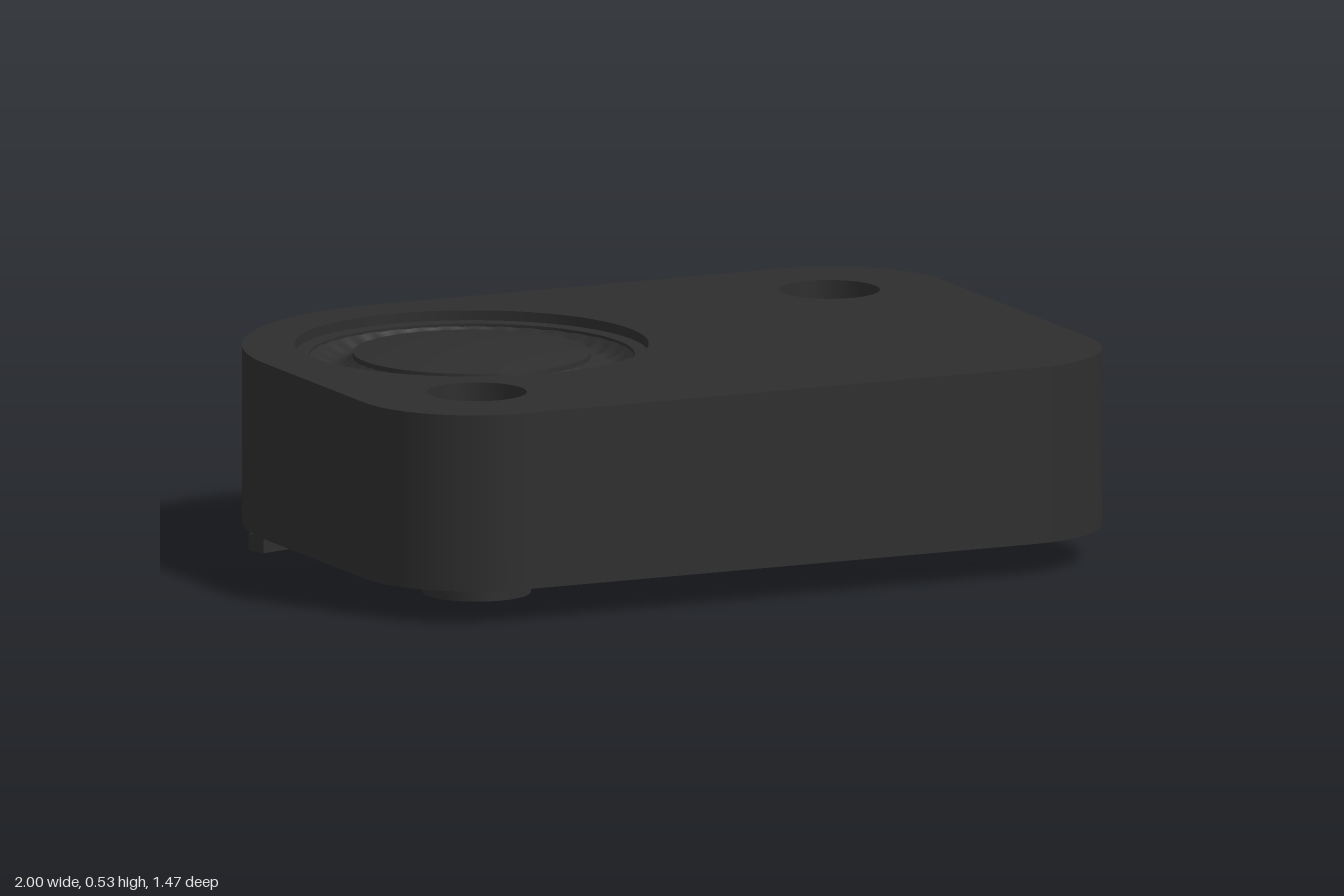
import * as THREE from 'three';
import { toCreasedNormals } from 'three/addons/utils/BufferGeometryUtils.js';

const TAU = Math.PI * 2;
const BASE = 0.08, LEDGE = 0.445, TOP = 0.525;
const SPEAKER = { x: -0.42, z: -0.165, r: 0.44 };
const SCREWS = [[0.69, -0.43], [-0.685, 0.42]];

export function createModel() {
  const group = new THREE.Group();
  const charcoal = new THREE.MeshStandardMaterial({ color: 0x2e2e2e });
  charcoal.name = 'charcoal plastic';

  const add = (name, geometry, x = 0, y = 0, z = 0) => {
    const mesh = new THREE.Mesh(geometry, charcoal);
    mesh.name = name;
    mesh.position.set(x, y, z);
    group.add(mesh);
    return mesh;
  };

  // Plan outline: three equal corners and one large one around the speaker
  const outline = () => {
    const s = new THREE.Shape();
    const r = 0.3, R = 0.59, w = 0.998, back = 0.735, front = -0.73;
    s.absarc(w - r, front + r, r, -Math.PI / 2, 0);
    s.absarc(w - r, back - r, r, 0, Math.PI / 2);
    s.absarc(-w + R, back - R, R, Math.PI / 2, Math.PI);
    s.absarc(-w + r, front + r, r, Math.PI, Math.PI * 1.5);
    s.closePath();
    return s;
  };

  // A horizontal slab of the housing with round holes [x, z, radius]
  const slab = (name, y0, y1, holes) => {
    const s = outline();
    for (const [x, z, r] of holes) s.holes.push(new THREE.Path().absarc(x, -z, r, 0, TAU, true));
    const g = new THREE.ExtrudeGeometry(s, { depth: y1 - y0, bevelEnabled: false, curveSegments: 32 });
    g.rotateX(-Math.PI / 2);
    add(name, toCreasedNormals(g, 0.5), 0, y0, 0);
  };
  slab('lowerHousing', BASE, LEDGE, SCREWS.map(([x, z]) => [x, z, 0.05]));
  slab('upperHousing', LEDGE, TOP,
    [...SCREWS.map(([x, z]) => [x, z, 0.125]), [SPEAKER.x, SPEAKER.z, SPEAKER.r]]);

  // Mounting feet: short rings around the screw holes
  for (const [x, z] of SCREWS) {
    const ring = new THREE.Shape().absarc(0, 0, 0.135, 0, TAU);
    ring.holes.push(new THREE.Path().absarc(0, 0, 0.085, 0, TAU, true));
    const g = new THREE.ExtrudeGeometry(ring, { depth: 0.06, bevelEnabled: false, curveSegments: 24 });
    g.rotateX(-Math.PI / 2);
    add('mountingFoot', toCreasedNormals(g, 0.5), x, 0.02, z);
  }

  // Speaker frame: flat step inside the recess
  const frame = new THREE.LatheGeometry(
    [[0.405, 0.46], [0.405, 0.498], [0.415, 0.5], [0.44, 0.5]].reverse()
      .map(([r, y]) => new THREE.Vector2(r, y)).reverse(), 72);
  flipUp(frame);
  add('speakerFrame', toCreasedNormals(frame, 0.5), SPEAKER.x, 0, SPEAKER.z);

  // Surround: concave roll with slanted ribs
  const roll = [];
  for (let i = 0; i <= 12; i++) roll.push(new THREE.Vector2(0.29 + 0.122 * i / 12, 0));
  const surround = new THREE.LatheGeometry(roll, 288);
  const p = surround.attributes.position;
  for (let i = 0; i < p.count; i++) {
    const x = p.getX(i), z = p.getZ(i);
    const t = (Math.hypot(x, z) - 0.29) / 0.122;
    const dip = Math.sin(Math.PI * Math.min(1, Math.max(0, t)));
    p.setY(i, 0.497 - 0.033 * dip + 0.004 * dip * Math.sin(36 * Math.atan2(z, x) + 4 * t));
  }
  flipUp(surround);
  surround.computeVertexNormals();
  add('speakerSurround', surround, SPEAKER.x, 0, SPEAKER.z);

  // Dome: shallow spherical cap with a small edge
  const cap = [];
  for (let i = 0; i <= 12; i++) {
    const r = 0.295 * i / 12;
    cap.push(new THREE.Vector2(r, 0.53 - 0.026 * (r / 0.295) ** 2));
  }
  cap.push(new THREE.Vector2(0.297, 0.485));
  const dome = new THREE.LatheGeometry(cap, 72);
  flipUp(dome);
  add('speakerDome', toCreasedNormals(dome, 0.6), SPEAKER.x, 0, SPEAKER.z);

  // Pad on the underside
  add('undersidePad', new THREE.BoxGeometry(0.23, 0.05, 0.42), 0.805, 0.056, 0);

  // Twisted pair of wires leading to a small plug
  const path = new THREE.CatmullRomCurve3([
    [0.115, 0.1, -0.39], [0.1, 0.055, -0.4], [0.04, 0.026, -0.42], [-0.15, 0.025, -0.42],
    [-0.4, 0.032, -0.385], [-0.65, 0.04, -0.33], [-0.85, 0.052, -0.265], [-0.95, 0.057, -0.225],
  ].map(v => new THREE.Vector3(...v)));
  const steps = 110, turns = 4.5;
  for (const phase of [0, Math.PI]) {
    const points = [];
    for (let i = 0; i <= steps; i++) {
      const u = i / steps;
      const tangent = path.getTangentAt(u);
      const side = new THREE.Vector3(tangent.z, 0, -tangent.x).normalize();
      const up = new THREE.Vector3().crossVectors(tangent, side).normalize();
      const a = u * turns * TAU + phase;
      points.push(path.getPointAt(u)
        .addScaledVector(side, 0.013 * Math.cos(a)).addScaledVector(up, 0.013 * Math.sin(a)));
    }
    add('wire', new THREE.TubeGeometry(new THREE.CatmullRomCurve3(points), 160, 0.0125, 8));
  }
  const plug = add('wirePlug', new THREE.BoxGeometry(0.09, 0.044, 0.055), -0.947, 0.058, -0.228);
  plug.rotation.y = 0.3;

  return group;
}

// Makes a revolved surface face upwards
function flipUp(geometry) {
  const p = geometry.attributes.position, idx = geometry.index.array;
  const [a, b, c] = [0, 1, 2].map(() => new THREE.Vector3());
  let sum = 0;
  for (let i = 0; i < idx.length; i += 3) {
    a.fromBufferAttribute(p, idx[i]);
    b.fromBufferAttribute(p, idx[i + 1]).sub(a);
    c.fromBufferAttribute(p, idx[i + 2]).sub(a);
    sum += b.cross(c).y;
  }
  if (sum < 0) for (let i = 0; i < idx.length; i += 3) [idx[i], idx[i + 1]] = [idx[i + 1], idx[i]];
  geometry.computeVertexNormals();
}
